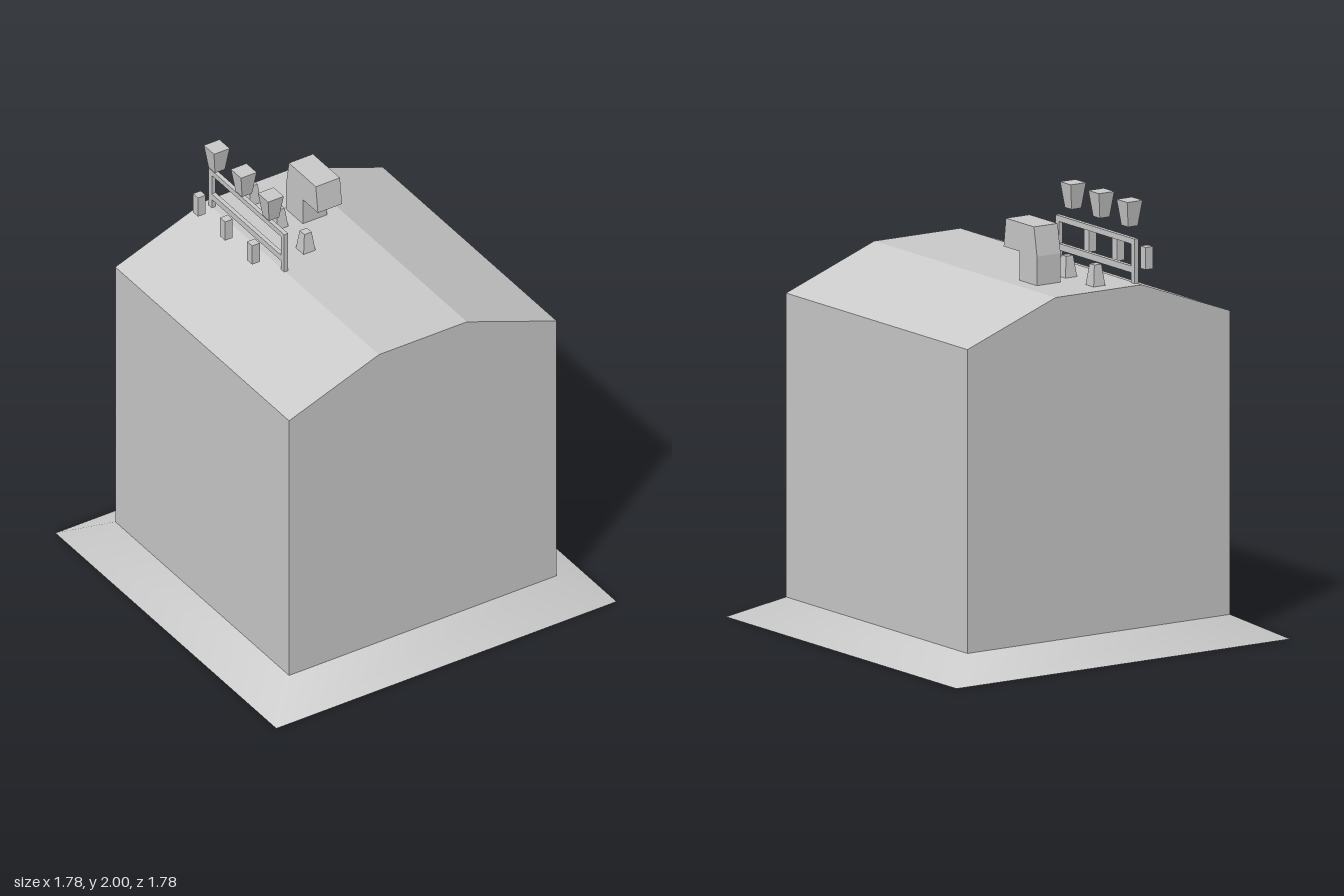
import * as THREE from 'three';

const flat = new THREE.MeshStandardMaterial({ color: 0xcccccc, flatShading: true, side: THREE.DoubleSide });
const smooth = new THREE.MeshStandardMaterial({ color: 0xcccccc, side: THREE.DoubleSide });

export function createModel() {
  const model = new THREE.Group();
  model.name = 'tankBuilding';

  const add = (name, geometry, x = 0, y = 0, z = 0, material = flat, parent = model) => {
    const mesh = new THREE.Mesh(geometry, material);
    mesh.name = name;
    mesh.position.set(x, y, z);
    parent.add(mesh);
    return mesh;
  };

  // Four-sided tapered block, widths measured across the flats, standing on y = 0
  const taper = (top, bottom, height, open = false) =>
    new THREE.CylinderGeometry(top * Math.SQRT1_2, bottom * Math.SQRT1_2, height, 4, 1, open)
      .rotateY(Math.PI / 4)
      .translate(0, height / 2, 0);

  // Sloping ground skirt
  add('skirt', taper(1.4, 1.78, 0.1, true), 0, 0, 0, smooth);

  // Hollow body, open underneath: two gable ends plus a strip over sides and roof
  const half = 0.7;
  const profile = [[0.7, 0.02], [0.7, 1.465], [0.23, 1.64], [-0.23, 1.64], [-0.7, 1.465], [-0.7, 0.02]]
    .map(([x, y]) => new THREE.Vector2(x, y));
  const end = new THREE.ShapeGeometry(new THREE.Shape(profile));
  add('frontWall', end, 0, 0, half);
  add('backWall', end.clone().rotateY(Math.PI), 0, 0, -half);

  const strip = [];
  for (let i = 0; i < profile.length - 1; i++) {
    const a = profile[i], b = profile[i + 1];
    strip.push(a.x, a.y, half, a.x, a.y, -half, b.x, b.y, -half);
    strip.push(a.x, a.y, half, b.x, b.y, -half, b.x, b.y, half);
  }
  const shell = new THREE.BufferGeometry();
  shell.setAttribute('position', new THREE.Float32BufferAttribute(strip, 3));
  shell.computeVertexNormals();
  add('sideWallsAndRoof', shell);

  // Rail frame on the roof
  const frame = new THREE.Group();
  frame.name = 'railFrame';
  model.add(frame);
  const railX = -0.225, midZ = -0.36, span = 0.61, bar = 0.026;
  for (const side of [-1, 1]) {
    add('railPost', new THREE.BoxGeometry(0.02, 0.2, bar), railX, 1.74, midZ + side * (span - bar) / 2, flat, frame);
  }
  add('topRail', new THREE.BoxGeometry(0.02, 0.026, span - 2 * bar), railX, 1.827, midZ, flat, frame);
  add('lowerRail', new THREE.BoxGeometry(0.02, 0.03, span - 2 * bar), railX, 1.70, midZ, flat, frame);

  // Three sets of tapered heads, small boxes and roof pegs
  for (const z of [-0.588, -0.37, -0.152]) {
    add('taperedHead', taper(0.082, 0.052, 0.115), -0.242, 1.885, z);
    add('smallBox', new THREE.BoxGeometry(0.04, 0.1, 0.04), -0.333, 1.73, z);
    add('roofPeg', taper(0.038, 0.062, 0.095), -0.06, 1.64, z);
  }

  // Overhanging roof unit, its side outline drawn as (z, y)
  const outline = new THREE.Shape([
    [-0.455, 1.64], [-0.32, 1.64], [-0.32, 1.77], [-0.198, 1.77],
    [-0.215, 1.9], [-0.432, 1.9], [-0.455, 1.77],
  ].map(([z, y]) => new THREE.Vector2(z, y)));
  const unit = new THREE.ExtrudeGeometry(outline, { depth: 0.126, bevelEnabled: false }).rotateY(-Math.PI / 2);
  add('roofUnit', unit, 0.16, 0, 0);

  return model;
}
